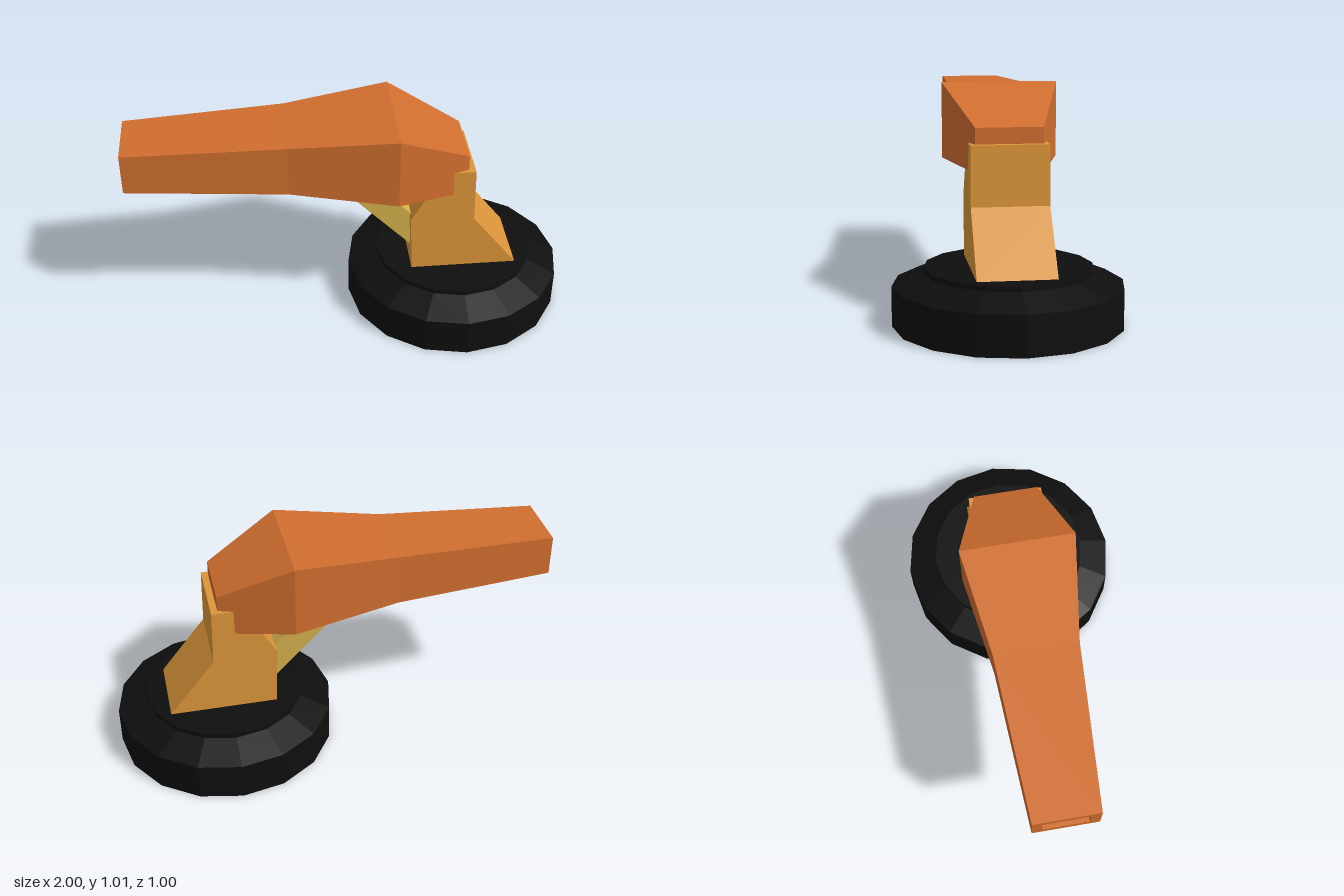
import * as THREE from 'three';

const paint = (color) => new THREE.MeshStandardMaterial({ color, flatShading: true });

// Sweep a rectangle along x; each section is [x, bottom, top, halfWidth]
function rectLoft(sections) {
  const rings = sections.map(([x, y0, y1, h]) => [[x, y0, h], [x, y1, h], [x, y1, -h], [x, y0, -h]]);
  const pos = [];
  const quad = (a, b, c, d) => pos.push(...a, ...b, ...c, ...a, ...c, ...d);
  for (let i = 0; i < rings.length - 1; i++) {
    const a = rings[i], b = rings[i + 1];
    for (let j = 0; j < 4; j++) {
      const k = (j + 1) % 4;
      quad(a[j], b[j], b[k], a[k]);
    }
  }
  quad(...rings[0]);
  quad(...rings[rings.length - 1].slice().reverse());
  const geo = new THREE.BufferGeometry();
  geo.setAttribute('position', new THREE.Float32BufferAttribute(pos, 3));
  geo.computeVertexNormals();
  return geo;
}

// Side profile in x,y extruded symmetrically in z
function slab(points, halfWidth) {
  const shape = new THREE.Shape(points.map(([x, y]) => new THREE.Vector2(x, y)));
  const geo = new THREE.ExtrudeGeometry(shape, { depth: halfWidth * 2, bevelEnabled: false });
  return geo.translate(0, 0, -halfWidth);
}

export function createModel() {
  const model = new THREE.Group();
  const add = (name, geo, color) => {
    const mesh = new THREE.Mesh(geo, paint(color));
    mesh.name = name;
    model.add(mesh);
    return mesh;
  };

  // Round stepped base, 16 sides
  const profile = [[0, 0], [0.5, 0], [0.5, 0.175], [0.365, 0.23], [0.365, 0.252], [0, 0.252]];
  const base = add('base', new THREE.LatheGeometry(profile.map(([r, y]) => new THREE.Vector2(r, y)), 16), 0x0e0e0e);
  base.position.x = 0.5;

  // Leaning post
  add('post', slab([
    [0.28, 0.24], [0.778, 0.24], [0.56, 0.517], [0.555, 0.777],
    [0.41, 0.777], [0.268, 0.525], [0.277, 0.36],
  ], 0.168), 0xdd9639);

  // Diagonal brace between post and arm
  add('brace', slab([[0.29, 0.345], [0.29, 0.52], [0.09, 0.72], [-0.07, 0.72]], 0.125), 0xd4b04c);

  // Tapered arm with a hollow open end
  add('arm', rectLoft([
    [-0.65, 0.795, 0.9, 0.1],
    [-1, 0.795, 0.9, 0.1],
    [-1, 0.753, 0.94, 0.145],
    [-0.28, 0.725, 0.965, 0.185],
    [0.2, 0.677, 1.01, 0.255],
    [0.525, 0.655, 0.847, 0.145],
  ]), 0xd06e2f);

  return model;
}
